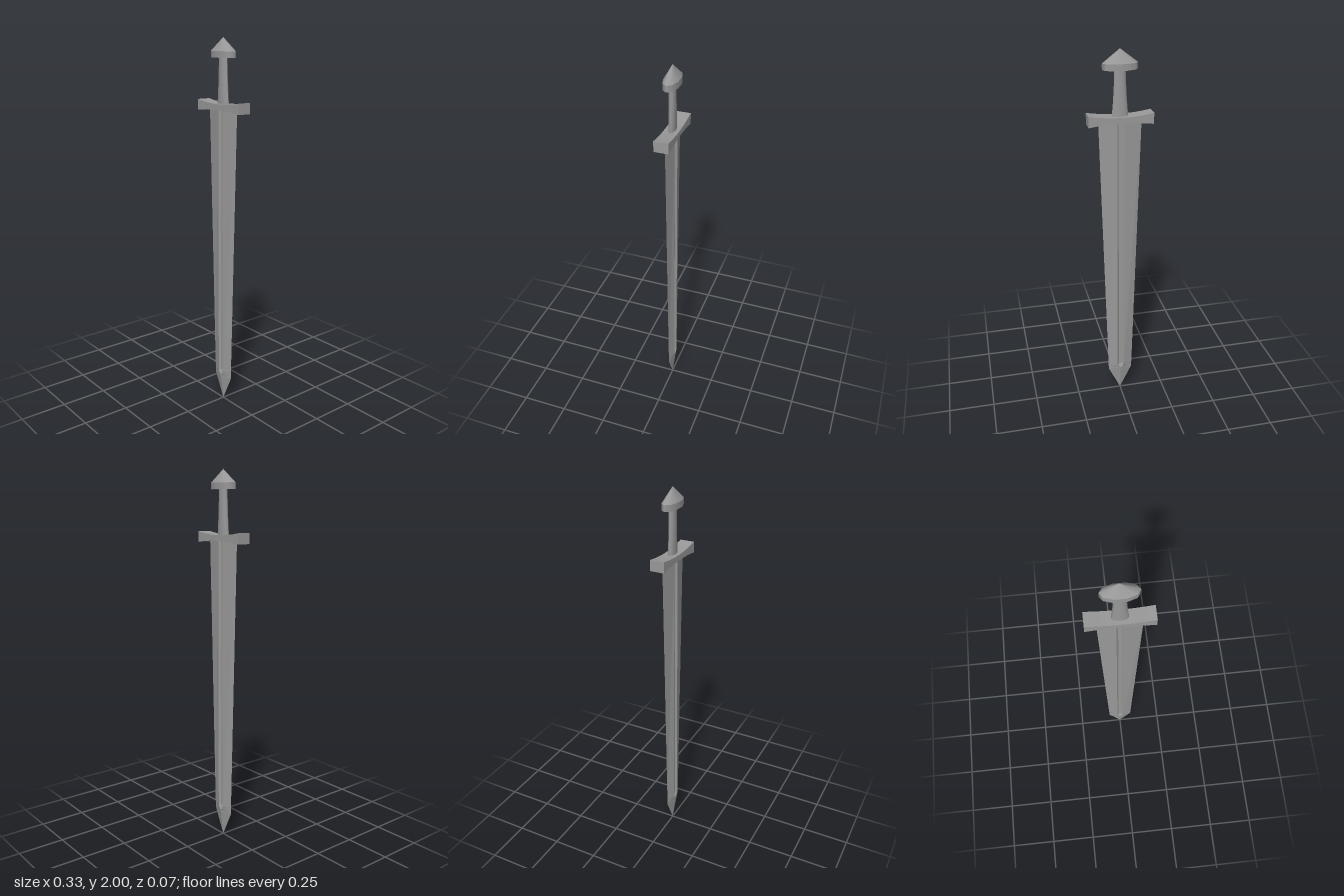
import * as THREE from 'three';

const steel = new THREE.MeshStandardMaterial({ color: 0x999999 });
steel.name = 'grey steel';

function addMesh(group, name, geometry) {
  const mesh = new THREE.Mesh(geometry, steel);
  mesh.name = name;
  group.add(mesh);
  return mesh;
}

// Skins closed cross-sections (listed bottom to top) with flat faces.
function loft(sections) {
  const pos = [];
  const tri = (...pts) => pts.forEach((p) => pos.push(p.x, p.y, p.z));
  for (let i = 0; i < sections.length - 1; i++) {
    const a = sections[i], b = sections[i + 1];
    for (let j = 0; j < a.length; j++) {
      const k = (j + 1) % a.length;
      tri(a[j], a[k], b[k]);
      tri(a[j], b[k], b[j]);
    }
  }
  const geometry = new THREE.BufferGeometry();
  geometry.setAttribute('position', new THREE.Float32BufferAttribute(pos, 3));
  geometry.computeVertexNormals();
  return geometry;
}

// Diamond blade section with a groove sunk into both faces.
function bladeSection([y, width, ridge, groove, depth]) {
  const front = [
    [-width, 0], [-groove, ridge], [-groove * 0.5, ridge - depth],
    [groove * 0.5, ridge - depth], [groove, ridge],
  ];
  const back = front.map(([x, z]) => [-x, -z]);
  return [...front, ...back].map(([x, z]) => new THREE.Vector3(x, y, z));
}

export function createModel() {
  const sword = new THREE.Group();
  sword.name = 'sword';

  // Blade: y, half width, ridge height, groove half width, groove depth
  addMesh(sword, 'blade', loft([
    [0, 0, 0, 0, 0],
    [0.14, 0.067, 0.017, 0, 0],
    [0.152, 0.0675, 0.018, 0.002, 0],
    [0.16, 0.068, 0.018, 0.011, 0.003],
    [0.178, 0.0685, 0.018, 0.018, 0.009],
    [1.66, 0.111, 0.018, 0.018, 0.009],
  ].map(bladeSection)));

  // Crossguard: a bar that flares towards both ends
  const outline = new THREE.Shape();
  outline.moveTo(-0.165, 1.63);
  outline.quadraticCurveTo(0, 1.654, 0.165, 1.63);
  outline.lineTo(0.165, 1.686);
  outline.quadraticCurveTo(0, 1.656, -0.165, 1.686);
  outline.closePath();
  const guard = new THREE.ExtrudeGeometry(outline, {
    depth: 0.074, bevelEnabled: false, curveSegments: 8,
  });
  guard.translate(0, 0, -0.037);
  addMesh(sword, 'crossguard', guard);

  // Grip: oval handle widening to the guard
  const profile = [[0.042, 1.66], [0.04, 1.69], [0.035, 1.75], [0.031, 1.82], [0.028, 1.905]]
    .map(([r, y]) => new THREE.Vector2(r, y));
  const grip = new THREE.LatheGeometry(profile, 12, Math.PI / 2);
  // Keep the thickness constant while the width tapers
  const p = grip.attributes.position;
  for (let i = 0; i < p.count; i++) {
    const r = profile[i % profile.length].x;
    p.setZ(i, p.getZ(i) * 0.017 / r);
  }
  grip.computeVertexNormals();
  addMesh(sword, 'grip', grip);

  // Pommel: ten-sided oval band under a pointed cap
  const pommel = new THREE.Group();
  pommel.name = 'pommel';
  sword.add(pommel);
  const band = new THREE.CylinderGeometry(0.089, 0.089, 0.032, 10, 1, false, Math.PI / 2);
  const cap = new THREE.ConeGeometry(0.089, 0.068, 10, 1, true, Math.PI / 2);
  for (const [name, geometry, y] of [['pommelBand', band, 1.916], ['pommelCap', cap, 1.966]]) {
    geometry.scale(1, 1, 0.44);
    geometry.translate(0, y, 0);
    addMesh(pommel, name, geometry);
  }

  return sword;
}
